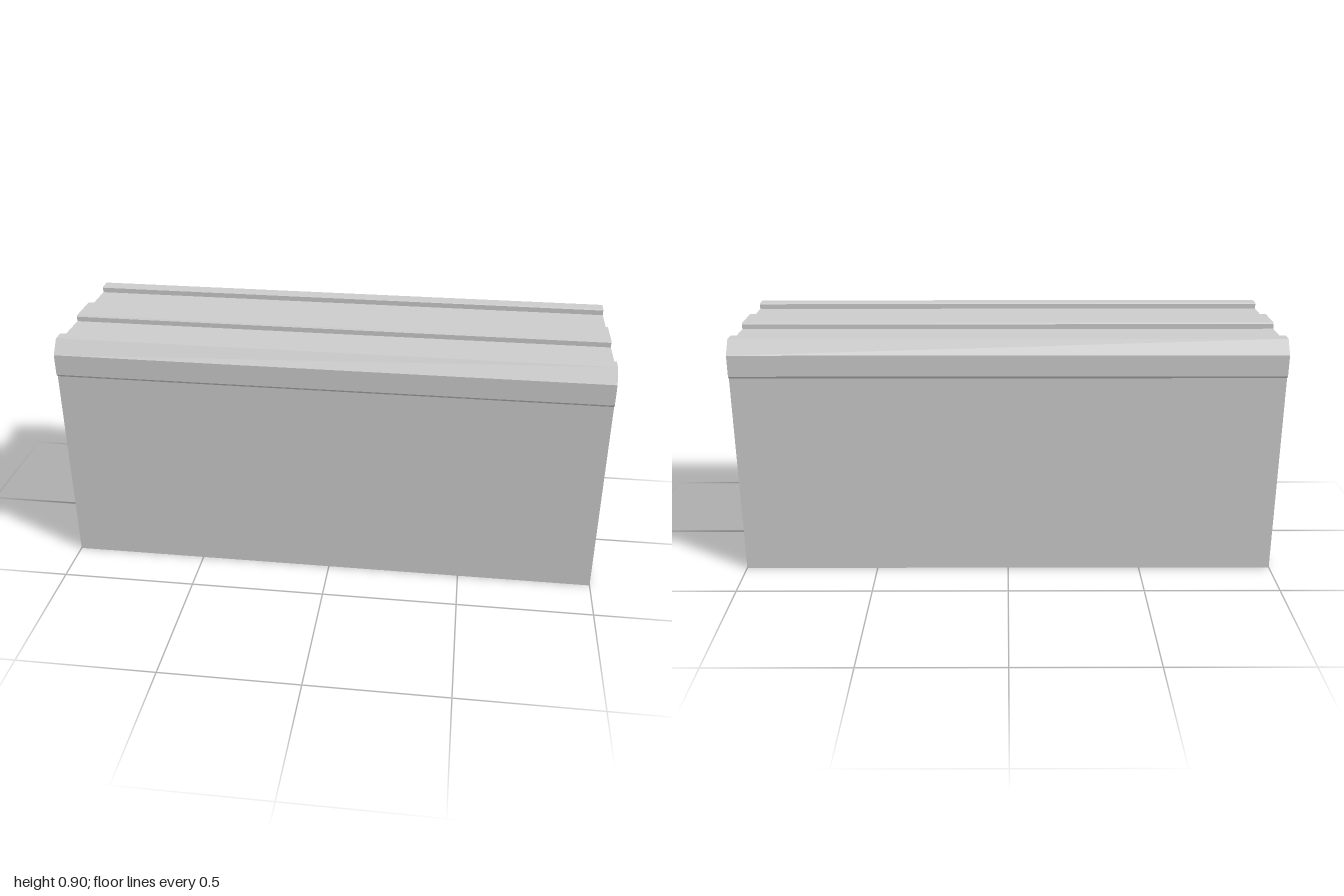
import * as THREE from 'three';

const LENGTH = 2;

export function createModel() {
  const group = new THREE.Group();
  group.name = 'groovedBlock';

  // Half of the cross-section (z, y), from the base up to the central ridge
  const half = [
    [0.32, 0], [0.32, 0.762], [0.33, 0.772], [0.33, 0.85], // wall and overhanging lip
    [0.291, 0.9], [0.245, 0.9], [0.241, 0.896],            // bevelled outer rail
    [0.241, 0.877], [0.07, 0.877],                         // groove floor
    [0.07, 0.895], [0.066, 0.9],                           // central ridge
  ];
  const mirrored = half.map(([z, y]) => [-z, y]).reverse();
  const profile = new THREE.Shape(
    [...half, ...mirrored].map(([z, y]) => new THREE.Vector2(z, y))
  );

  // Run the section along x
  const geometry = new THREE.ExtrudeGeometry(profile, { depth: LENGTH, bevelEnabled: false });
  geometry.translate(0, 0, -LENGTH / 2);
  geometry.rotateY(Math.PI / 2);

  const block = new THREE.Mesh(
    geometry,
    new THREE.MeshStandardMaterial({ color: 0xcccccc, flatShading: true })
  );
  block.name = 'blockBody';
  group.add(block);
  return group;
}
